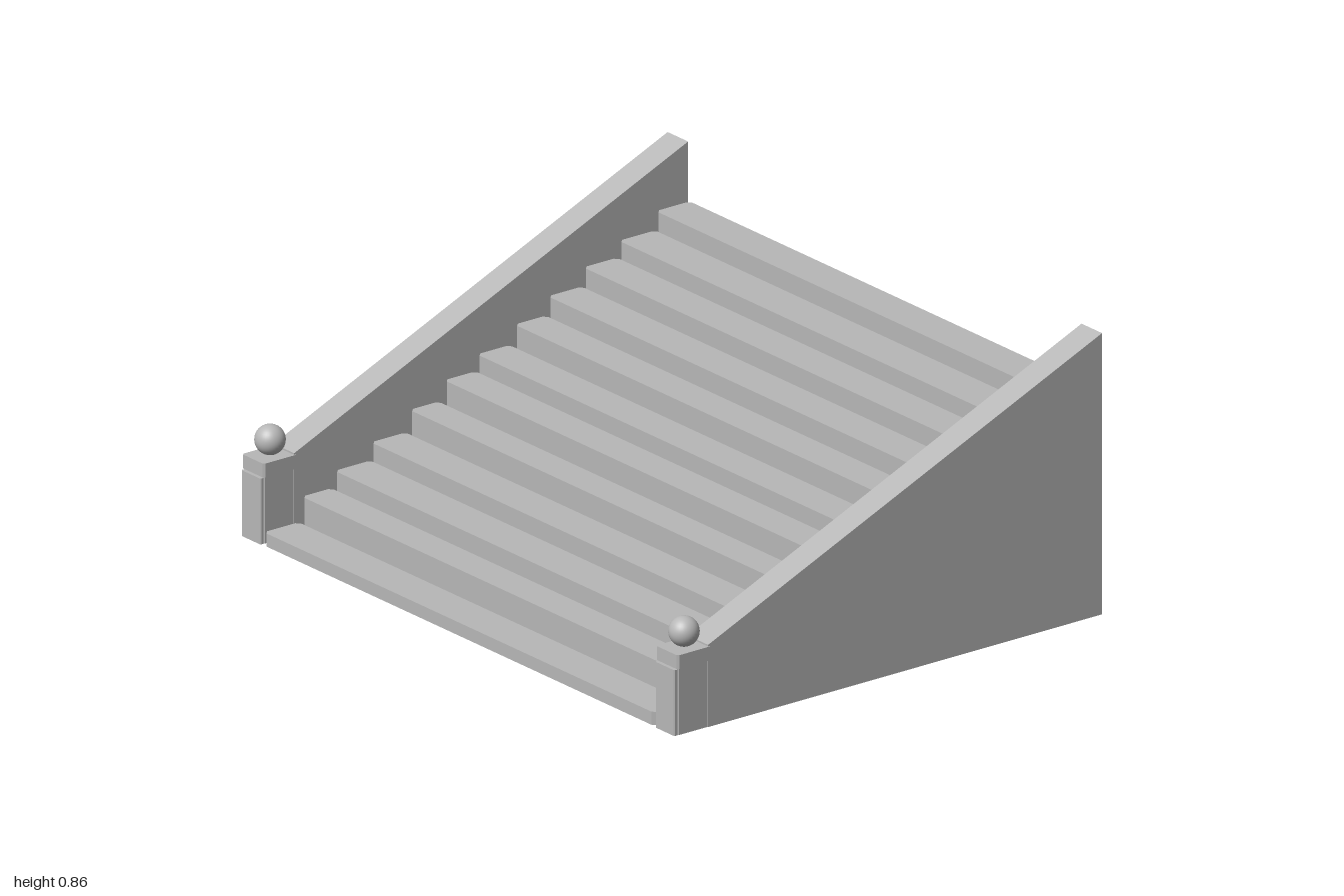
import * as THREE from 'three';

export function createModel() {
  const group = new THREE.Group();
  const stone = new THREE.MeshStandardMaterial({ color: 0xb8b8b8 });
  stone.name = 'grey stone';

  const add = (name, geometry, x = 0, y = 0, z = 0) => {
    const mesh = new THREE.Mesh(geometry, stone);
    mesh.name = name;
    mesh.position.set(x, y, z);
    group.add(mesh);
  };

  // Upright block whose four vertical corners are chamfered
  const block = (w, h, d, c) => {
    const a = w / 2, b = d / 2;
    const shape = new THREE.Shape([
      [-a + c, -b], [a - c, -b], [a, -b + c], [a, b - c],
      [a - c, b], [-a + c, b], [-a, b - c], [-a, -b + c],
    ].map(([x, y]) => new THREE.Vector2(x, y)));
    return new THREE.ExtrudeGeometry(shape, { depth: h, bevelEnabled: false }).rotateX(-Math.PI / 2);
  };

  // Steps, each a solid block down to the ground: front z, back z, top y
  const steps = [
    [0.765, 0.64, 0.04], [0.628, 0.522, 0.115], [0.51, 0.381, 0.165], [0.379, 0.255, 0.22],
    [0.24, 0.136, 0.285], [0.115, 0.003, 0.345], [-0.003, -0.12, 0.395], [-0.138, -0.25, 0.453],
    [-0.258, -0.38, 0.51], [-0.386, -0.507, 0.567], [-0.514, -0.644, 0.617], [-0.647, -0.769, 0.675],
  ];
  steps.forEach(([front, back, top], i) =>
    add(`step${i + 1}`, block(1.788, top, front - back, 0.012), 0, 0, (front + back) / 2));

  // Sloping side wall profile, drawn as (-z, y)
  const profile = new THREE.Shape([
    [-0.65, 0], [0.769, 0], [0.769, 0.855], [-0.65, 0.25],
  ].map(([x, y]) => new THREE.Vector2(x, y)));

  for (const [side, s] of [['left', 1], ['right', -1]]) {
    const wall = new THREE.ExtrudeGeometry(profile, { depth: 0.094, bevelEnabled: false })
      .translate(0, 0, -0.047).rotateY(Math.PI / 2);
    add(`${side}Wall`, wall, s * 0.948);

    // Newel post with a front panel, a cap and a ball
    add(`${side}Post`, block(0.09, 0.21, 0.115, 0.004), s * 0.948, 0, 0.7);
    add(`${side}PostPanel`, block(0.088, 0.2, 0.014, 0.003), s * 0.948, 0, 0.762);
    add(`${side}PostCap`, block(0.1, 0.042, 0.122, 0.006), s * 0.948, 0.203, 0.701);
    add(`${side}Ball`, new THREE.SphereGeometry(0.045, 32, 20), s * 0.948, 0.29, 0.7);
  }
  return group;
}
